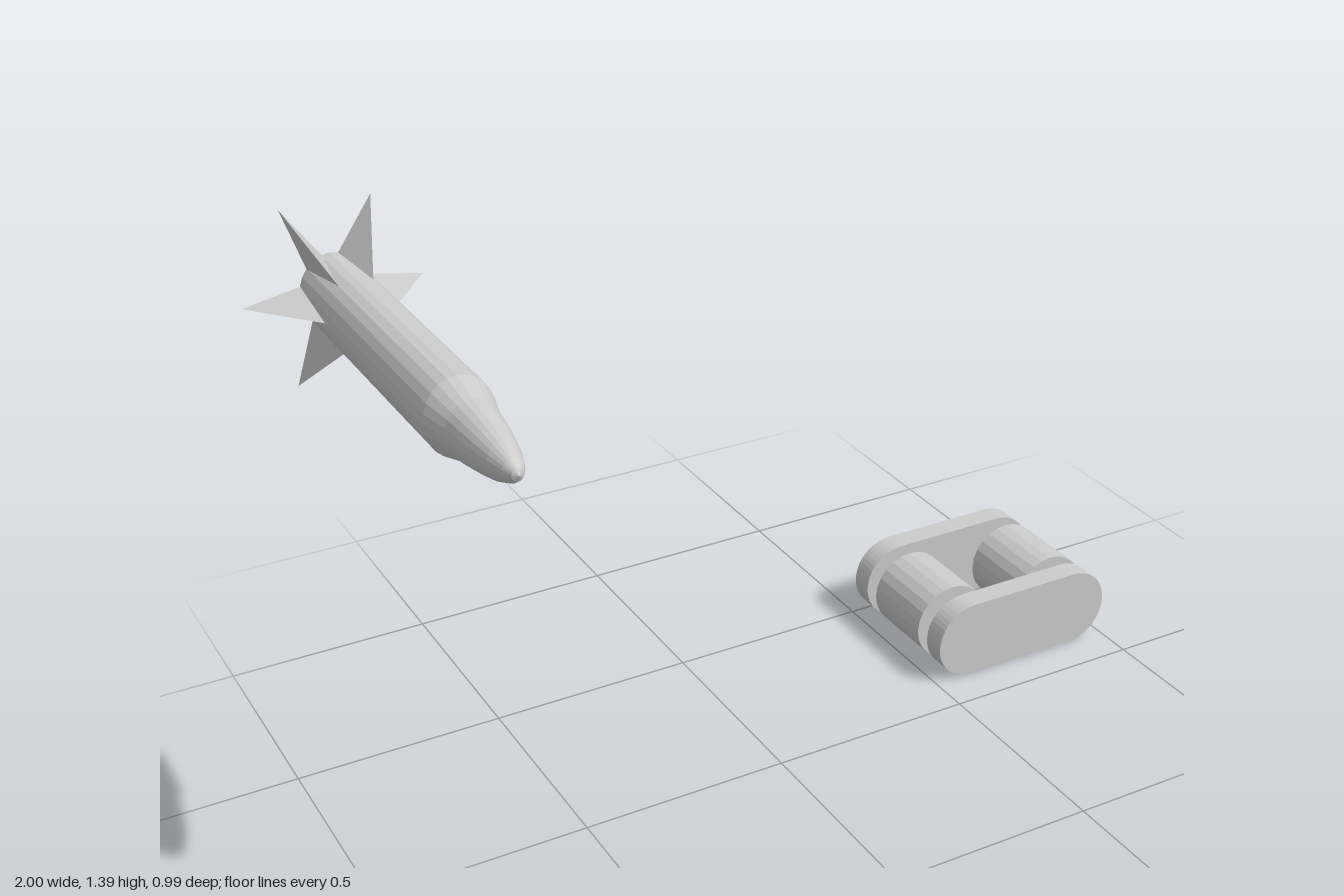
import * as THREE from 'three';

const material = new THREE.MeshStandardMaterial({ color: 0xcccccc, flatShading: true });

function addMesh(parent, name, geometry, x = 0, y = 0, z = 0) {
  const mesh = new THREE.Mesh(geometry, material);
  mesh.name = name;
  mesh.position.set(x, y, z);
  parent.add(mesh);
  return mesh;
}

// Thin pyramid fin: kite-shaped root along the hull, single outer tip
function finGeometry() {
  const lead = [0.071, 0, -0.305];
  const tip = [0.195, 0, -0.46];
  const sideA = [0.066, 0.021, -0.46];
  const sideB = [0.066, -0.021, -0.46];
  const trail = [0.05, 0, -0.488];
  const faces = [
    lead, tip, sideA, sideA, tip, trail,
    lead, sideB, tip, sideB, trail, tip,
  ];
  const geometry = new THREE.BufferGeometry();
  geometry.setAttribute('position', new THREE.Float32BufferAttribute(faces.flat(), 3));
  geometry.computeVertexNormals();
  return geometry;
}

function createRocket() {
  const rocket = new THREE.Group();
  rocket.name = 'rocket';

  // Hull: flat tail, boat tail, straight body, shoulder and ogive nose (radius, z)
  const profile = [
    [0, -0.495], [0.037, -0.495], [0.0725, -0.463], [0.0725, 0.224],
    [0.056, 0.29], [0.0515, 0.33], [0.0445, 0.38], [0.035, 0.43],
    [0.022, 0.47], [0.012, 0.488], [0, 0.495],
  ].map(([r, z]) => new THREE.Vector2(r, z));
  addMesh(rocket, 'hull', new THREE.LatheGeometry(profile, 24).rotateX(Math.PI / 2));

  // Six fins around the tail
  const fin = finGeometry();
  for (let i = 0; i < 6; i++) {
    addMesh(rocket, 'fin', fin).rotation.z = (i * Math.PI) / 3;
  }

  // Slightly oval cross-section, taller than wide
  rocket.scale.y = 1.155;
  rocket.position.set(-0.805, 1.19, 0);
  return rocket;
}

function createRollerUnit() {
  const unit = new THREE.Group();
  unit.name = 'rollerUnit';
  const xs = [0.604, 0.901];
  const r = 0.099;
  const midZ = -0.2975;

  // Stadium-shaped end plates
  const outline = new THREE.Shape();
  outline.absarc(xs[1], 0, r, -Math.PI / 2, Math.PI / 2, false);
  outline.absarc(xs[0], 0, r, Math.PI / 2, Math.PI * 1.5, false);
  outline.closePath();
  const plate = new THREE.ExtrudeGeometry(outline, { depth: 0.058, bevelEnabled: false, curveSegments: 12 });
  addMesh(unit, 'frontPlate', plate, 0, 0, -0.158);
  addMesh(unit, 'rearPlate', plate, 0, 0, -0.495);

  // Two rollers on thin axles between the plates
  const roller = new THREE.CylinderGeometry(r, r, 0.197, 24).rotateX(Math.PI / 2);
  const axle = new THREE.CylinderGeometry(0.031, 0.031, 0.29, 24).rotateX(Math.PI / 2);
  for (const x of xs) {
    addMesh(unit, 'roller', roller, x, 0, midZ);
    addMesh(unit, 'axle', axle, x, 0, midZ);
  }
  unit.position.y = r;
  return unit;
}

export function createModel() {
  const model = new THREE.Group();
  model.name = 'rocketAndRollerUnit';
  model.add(createRocket(), createRollerUnit());
  return model;
}
